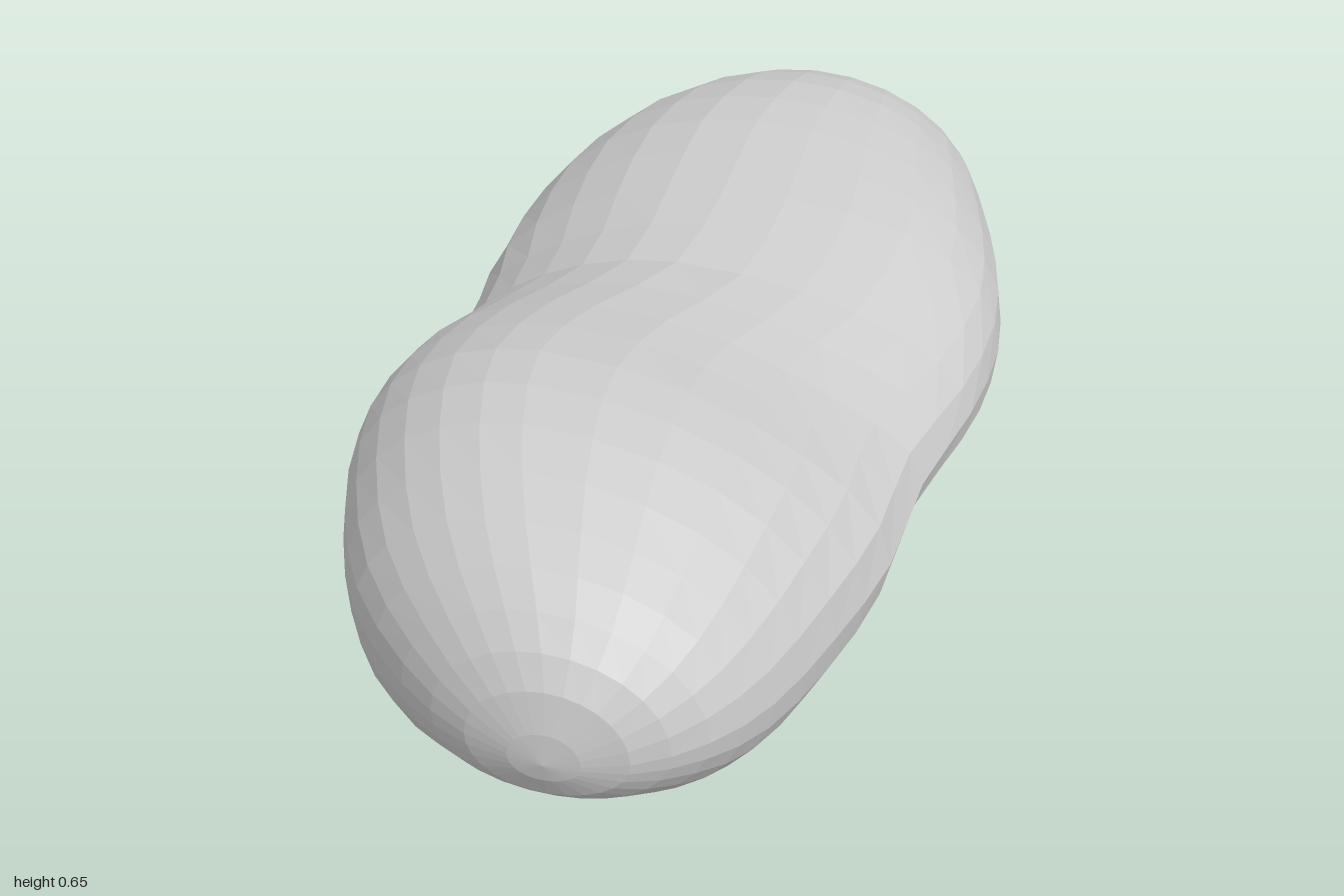
import * as THREE from 'three';

// Cross-sections from front (+z) to back, evenly spaced in angle so z = cos(angle).
// xLeft, xRight, yBottom, yTop, x of crest, x of keel, y of left flank, y of right flank
const SECTIONS = [
  [0, 0, 0.315, 0.315, 0, 0, 0.315, 0.315],
  [-0.125, 0.125, 0.24, 0.43, 0, 0, 0.33, 0.32],
  [-0.245, 0.225, 0.175, 0.515, -0.03, 0, 0.34, 0.32],
  [-0.36, 0.295, 0.09, 0.58, -0.08, -0.03, 0.36, 0.31],
  [-0.435, 0.355, 0.04, 0.637, -0.13, -0.08, 0.37, 0.32],
  [-0.48, 0.405, 0.05, 0.645, -0.16, -0.10, 0.38, 0.33],
  [-0.48, 0.42, 0.075, 0.605, -0.13, -0.10, 0.37, 0.34],
  [-0.445, 0.465, 0.085, 0.568, -0.05, -0.08, 0.34, 0.34],
  [-0.475, 0.48, 0.025, 0.593, -0.02, -0.12, 0.29, 0.33],
  [-0.46, 0.45, 0.002, 0.618, -0.01, -0.13, 0.28, 0.32],
  [-0.395, 0.40, 0.035, 0.61, 0.02, -0.08, 0.29, 0.31],
  [-0.295, 0.35, 0.067, 0.555, 0.03, 0, 0.29, 0.30],
  [-0.205, 0.275, 0.125, 0.475, 0.03, 0.03, 0.28, 0.29],
  [-0.10, 0.13, 0.205, 0.38, 0.02, 0.02, 0.28, 0.28],
  [0.02, 0.02, 0.285, 0.285, 0.02, 0.02, 0.285, 0.285],
];
// Swellings (+) and hollows (-) of each quarter: amount, z position, width
const RELIEF = {
  topRight: [[-0.10, 0.22, 0.28], [0.05, -0.25, 0.25]],
  topLeft: [[-0.05, -0.05, 0.2]],
  bottomLeft: [[0.08, 0.5, 0.4], [-0.06, -0.12, 0.15]],
  bottomRight: [[-0.06, 0.25, 0.2], [0.06, -0.3, 0.3]],
};
const RINGS = 28;
const SIDES = 28;

// Smooth interpolation of one section value along the body
function sample(k, t) {
  const n = SECTIONS.length - 1;
  const i = Math.min(Math.floor(t * n), n - 1);
  const f = t * n - i;
  const at = (j) => SECTIONS[Math.max(0, Math.min(n, j))][k];
  const [a, b, c, d] = [at(i - 1), at(i), at(i + 1), at(i + 2)];
  return b + 0.5 * f * (c - a + f * (2 * a - 5 * b + 4 * c - d + f * (3 * (b - c) + d - a)));
}

// Point on a section: four elliptic quarters, swollen or hollowed along the body
function surfacePoint(t, theta) {
  const z = Math.cos(t * Math.PI);
  const [xl, xr, yb, yt, xCrest, xKeel, yl, yr] = SECTIONS[0].map((_, k) => sample(k, t));
  const c = Math.cos(theta), s = Math.sin(theta);
  const cx = s >= 0 ? xCrest : xKeel;
  const cy = c >= 0 ? yr : yl;
  const quarter = (s >= 0 ? 'top' : 'bottom') + (c >= 0 ? 'Right' : 'Left');
  let swell = 1;
  for (const [amount, centre, width] of RELIEF[quarter]) {
    swell += amount * Math.sin(2 * theta) ** 2 * Math.exp(-(((z - centre) / width) ** 2));
  }
  return [
    cx + Math.abs(c) * ((c >= 0 ? xr : xl) - cx) * swell,
    cy + Math.abs(s) * ((s >= 0 ? yt : yb) - cy) * swell,
    z,
  ];
}

export function createModel() {
  const positions = [], index = [];
  for (let i = 0; i <= RINGS; i++) {
    for (let j = 0; j < SIDES; j++) {
      positions.push(...surfacePoint(i / RINGS, (j / SIDES) * Math.PI * 2));
    }
  }
  for (let i = 0; i < RINGS; i++) {
    for (let j = 0; j < SIDES; j++) {
      const a = i * SIDES + j, d = i * SIDES + ((j + 1) % SIDES);
      const b = a + SIDES, c = d + SIDES;
      // The end rings collapse to points and need only one triangle per side
      if (i < RINGS - 1) index.push(a, b, c);
      else index.push(a, b, d);
      if (i > 0 && i < RINGS - 1) index.push(a, c, d);
    }
  }
  const geometry = new THREE.BufferGeometry();
  geometry.setAttribute('position', new THREE.Float32BufferAttribute(positions, 3));
  geometry.setIndex(index);
  geometry.computeVertexNormals();

  // Two-lobed rock
  const rock = new THREE.Mesh(
    geometry,
    new THREE.MeshStandardMaterial({ color: 0xcccccc, flatShading: true }),
  );
  rock.name = 'twoLobedRock';
  const group = new THREE.Group();
  group.name = 'asteroid';
  group.add(rock);
  return group;
}
